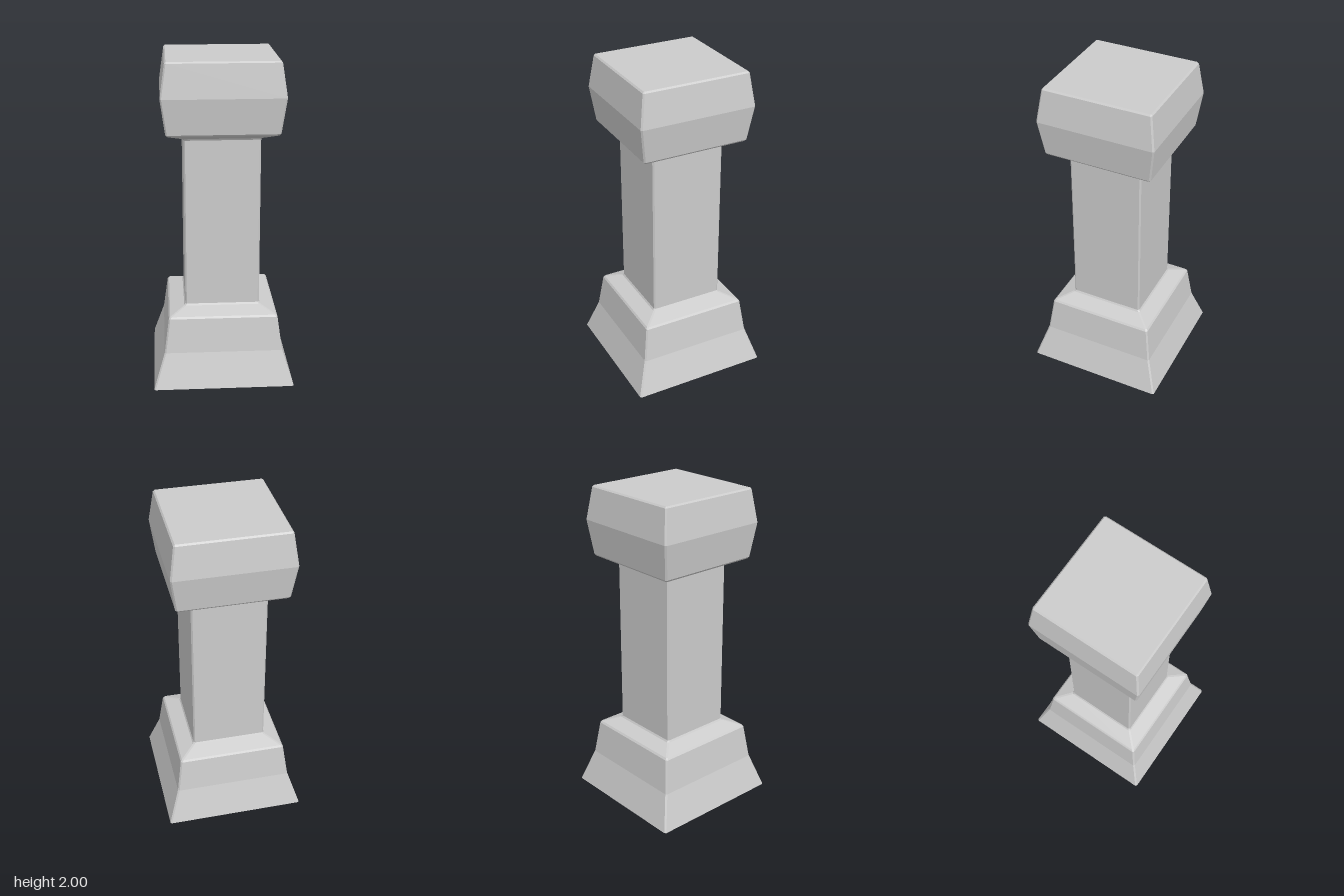
import * as THREE from 'three';

const material = new THREE.MeshStandardMaterial({
  color: 0xcccccc, flatShading: true, side: THREE.DoubleSide,
});

// Square cross-section of half-width h with its corners cut by c
function ring([h, y, c = 0.009]) {
  const k = h - c;
  return [[h, k], [k, h], [-k, h], [-h, k], [-h, -k], [-k, -h], [k, -h], [h, -k]]
    .map(([x, z]) => [x, y, z]);
}

// Skin between successive cross-sections, optionally closed at the top
function loft(name, profile, capped = false) {
  const rings = profile.map(ring);
  const pos = [];
  const tri = (...points) => points.forEach((p) => pos.push(...p));
  for (let r = 0; r < rings.length - 1; r++) {
    for (let i = 0; i < 8; i++) {
      const j = (i + 1) % 8;
      const a = rings[r][i], b = rings[r][j], c = rings[r + 1][j], d = rings[r + 1][i];
      tri(a, d, c);
      tri(a, c, b);
    }
  }
  if (capped) {
    const top = rings[rings.length - 1];
    for (let i = 1; i < 7; i++) tri(top[0], top[i + 1], top[i]);
  }
  const geometry = new THREE.BufferGeometry();
  geometry.setAttribute('position', new THREE.Float32BufferAttribute(pos, 3));
  geometry.computeVertexNormals();
  const mesh = new THREE.Mesh(geometry, material);
  mesh.name = name;
  return mesh;
}

export function createModel() {
  const group = new THREE.Group();
  group.name = 'pillar';

  // Shoulder shared by the base and, mirrored, by the capital: [half-width, height]
  const shoulder = [[0.363, 0.215], [0.334, 0.428], [0.325, 0.439], [0.236, 0.474], [0.229, 0.485]];
  const mirrored = shoulder.map(([h, y]) => [h, 2.008 - y]).reverse();

  // Flared base, open underneath
  group.add(loft('base', [[0.432, 0], ...shoulder]));

  // Straight hollow shaft
  group.add(loft('shaft', [shoulder[4], mirrored[0]]));

  // Capital bulging at mid height, with a bevelled flat top
  group.add(loft('capital', [...mirrored, [0.334, 1.991], [0.325, 2, 0.002]], true));

  return group;
}
